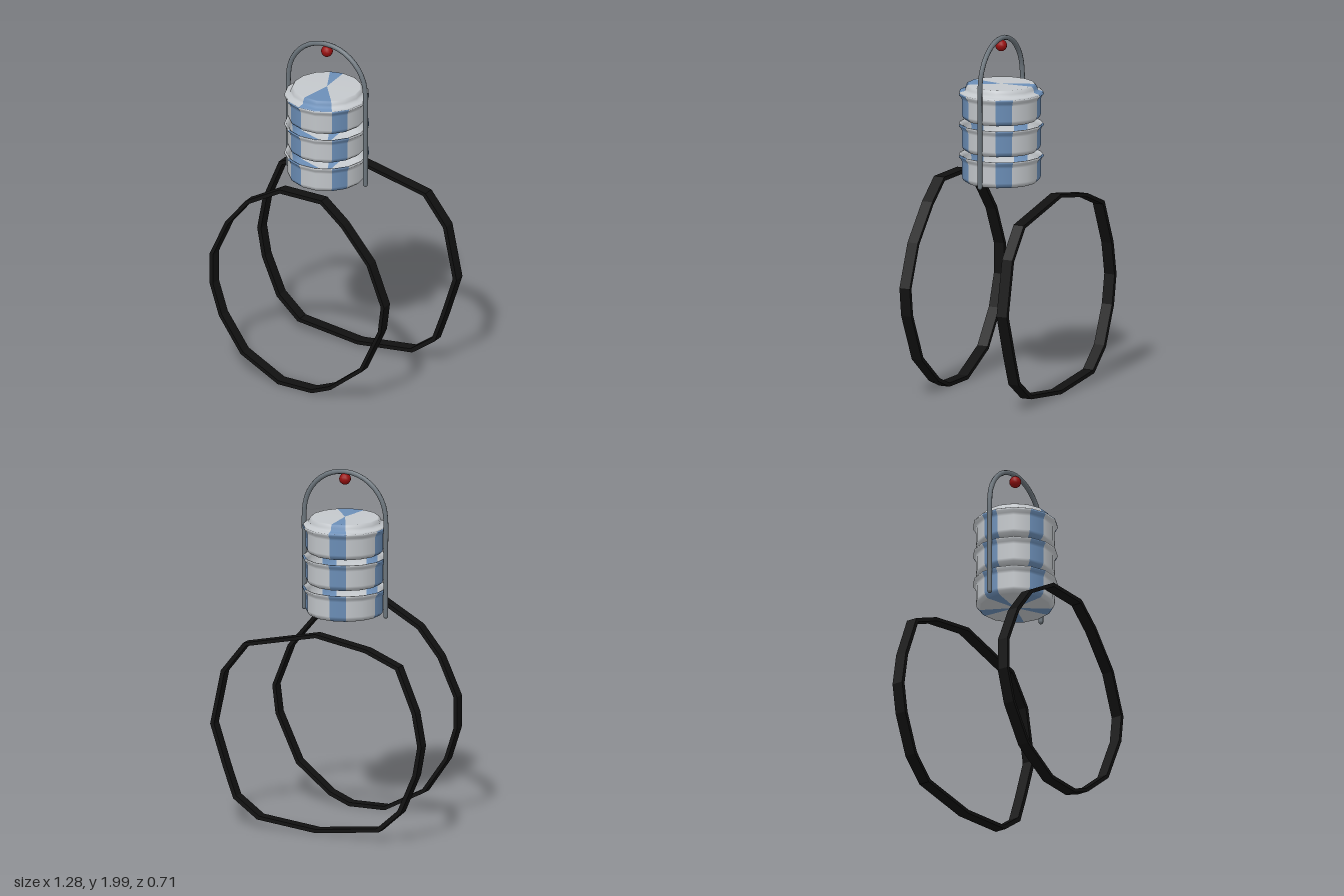
import * as THREE from 'three';

const mat = (color) => new THREE.MeshStandardMaterial({ color, side: THREE.DoubleSide });
const white = mat(0xc4c8cc), blue = mat(0x6c8fb8), steel = mat(0x6c757c), black = mat(0x111111), red = mat(0x991111);
const V2 = (p) => new THREE.Vector2(p[0], p[1]);

function add(parent, name, geometry, material) {
  const mesh = new THREE.Mesh(geometry, material);
  mesh.name = name;
  parent.add(mesh);
  return mesh;
}

// Uneven polygonal hoop cut from flat strap, standing upright
function hoop(parent, name, outline, z) {
  const cy = 0.59;
  const shape = new THREE.Shape(outline.map(V2));
  shape.holes.push(new THREE.Path(outline.map(([x, y]) => new THREE.Vector2(x * 0.963, cy + (y - cy) * 0.963))));
  const geometry = new THREE.ExtrudeGeometry(shape, { depth: 0.064, bevelEnabled: false });
  add(parent, name, geometry, black).position.z = z - 0.032;
}

// Turned vessel made of 15 wedges, with some wedges glazed blue
function glazed(parent, name, profile, y, isBlue) {
  const group = new THREE.Group();
  group.name = name;
  group.position.y = y;
  const step = (Math.PI * 2) / 15;
  const start = -0.38 - step / 2;
  for (let i = 0; i < 15; i++) {
    const geometry = new THREE.LatheGeometry(profile.map(V2), 1, start + i * step, step);
    add(group, isBlue(i) ? 'blueGlaze' : 'whiteGlaze', geometry, isBlue(i) ? blue : white);
  }
  parent.add(group);
}

export function createModel() {
  const model = new THREE.Group();

  // Two hoops
  hoop(model, 'frontHoop', [
    [-0.56, 0.52], [-0.5, 0.335], [-0.36, 0.135], [-0.12, 0.01], [0.1, 0.01], [0.22, 0.06], [0.42, 0.22], [0.545, 0.49],
    [0.565, 0.65], [0.47, 0.89], [0.3, 1.09], [0.16, 1.205], [-0.11, 1.205], [-0.33, 1.08], [-0.46, 0.92], [-0.56, 0.7],
  ], 0.322);
  hoop(model, 'backHoop', [
    [-0.645, 0.57], [-0.615, 0.4], [-0.52, 0.18], [-0.385, 0.06], [0, 0.015], [0.355, 0.055], [0.5, 0.16], [0.56, 0.325],
    [0.64, 0.57], [0.575, 0.88], [0.44, 1.05], [0, 1.145], [-0.31, 1.09], [-0.505, 1.01], [-0.61, 0.76],
  ], -0.325);

  // Stacked food carrier
  const carrier = new THREE.Group();
  carrier.name = 'foodCarrier';
  carrier.position.set(-0.004, 0, 0.022);
  model.add(carrier);

  // Three open bowls with flared rims
  const bowl = [
    [0, 0], [0.195, 0], [0.2, 0.002], [0.214, 0.015], [0.219, 0.03], [0.219, 0.115], [0.224, 0.13],
    [0.236, 0.143], [0.234, 0.152], [0.226, 0.152], [0.21, 0.13], [0.205, 0.03], [0, 0.02],
  ];
  [1.18, 1.355, 1.53].forEach((y, i) => glazed(carrier, 'bowl' + (i + 1), bowl, y, (k) => k % 3 === 0));

  // Lid
  const lid = [
    [0.232, 0], [0.234, 0.006], [0.226, 0.01], [0.203, 0.016], [0.2, 0.03], [0.192, 0.046], [0.186, 0.05], [0, 0.05],
  ];
  glazed(carrier, 'lid', lid, 1.679, (k) => k === 1 || k === 2 || k === 9);

  // Arched carrying handle
  const points = [1.19, 1.38, 1.56].map((y) => new THREE.Vector3(-0.248, y, 0));
  for (let i = 0; i <= 10; i++) {
    const a = Math.PI * (1 - i / 10);
    points.push(new THREE.Vector3(0.248 * Math.cos(a), 1.738 + 0.248 * Math.sin(a), 0));
  }
  [1.56, 1.38, 1.19].forEach((y) => points.push(new THREE.Vector3(0.248, y, 0)));
  add(carrier, 'handle', new THREE.TubeGeometry(new THREE.CatmullRomCurve3(points), 48, 0.014, 8), steel);
  for (const side of [-1, 1]) {
    add(carrier, 'handleTip', new THREE.SphereGeometry(0.014, 8, 6), steel).position.set(side * 0.248, 1.19, 0);
  }

  // Red bead under the top of the handle
  add(carrier, 'bead', new THREE.SphereGeometry(0.033, 12, 8), red).position.y = 1.945;

  return model;
}
